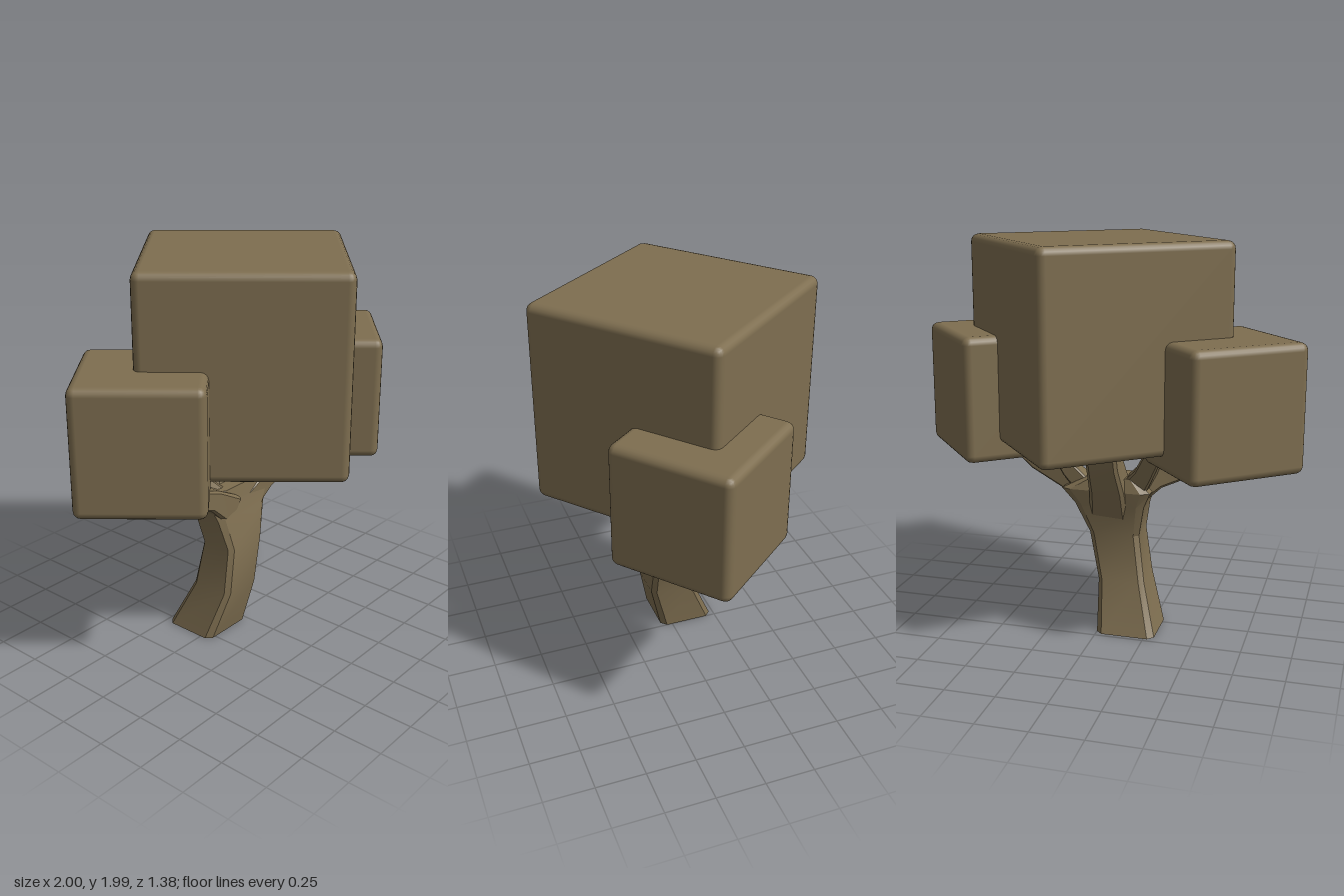
import * as THREE from 'three';
import { toCreasedNormals } from 'three/addons/utils/BufferGeometryUtils.js';
import { RoundedBoxGeometry } from 'three/addons/geometries/RoundedBoxGeometry.js';

// Lofts a chamfered rectangle through rows of [x, y, z, halfWidth, halfDepth].
function limbGeometry(rows, upright = false) {
  const corners = [[1, -0.8], [1, 0.8], [0.8, 1], [-0.8, 1], [-1, 0.8], [-1, -0.8], [-0.8, -1], [0.8, -1]];
  const n = corners.length;
  const centres = rows.map((r) => new THREE.Vector3(r[0], r[1], r[2]));
  const positions = [];
  const index = [];
  rows.forEach((row, i) => {
    const t = upright
      ? new THREE.Vector3(0, 1, 0)
      : centres[Math.min(i + 1, rows.length - 1)].clone().sub(centres[Math.max(i - 1, 0)]).normalize();
    const w = new THREE.Vector3(0, 0, 1).addScaledVector(t, -t.z).normalize();
    const u = t.clone().cross(w);
    for (const [a, b] of corners) {
      const p = centres[i].clone().addScaledVector(u, a * row[3]).addScaledVector(w, b * row[4]);
      positions.push(p.x, p.y, p.z);
    }
  });
  for (let i = 0; i < rows.length - 1; i++) {
    for (let j = 0; j < n; j++) {
      const a = i * n + j;
      const b = i * n + (j + 1) % n;
      index.push(a, a + n, b, b, a + n, b + n);
    }
  }
  // End caps
  const last = (rows.length - 1) * n;
  for (let j = 1; j < n - 1; j++) {
    index.push(0, j, j + 1, last, last + j + 1, last + j);
  }
  const geometry = new THREE.BufferGeometry();
  geometry.setAttribute('position', new THREE.Float32BufferAttribute(positions, 3));
  geometry.setIndex(index);
  return toCreasedNormals(geometry, 0.45);
}

export function createModel() {
  const tree = new THREE.Group();
  tree.name = 'blockTree';
  const olive = new THREE.MeshStandardMaterial({ color: 0x7e6e50 });
  olive.name = 'olive brown';

  function add(name, geometry) {
    const mesh = new THREE.Mesh(geometry, olive);
    mesh.name = name;
    tree.add(mesh);
    return mesh;
  }

  // Foliage blocks, all turned by the same angle
  const blocks = [
    ['crownFoliage', 1.003, 1.01, 0.05, 1.485, 0],
    ['rightFoliage', 0.62, 0.635, -0.58, 1.217, -0.085],
    ['leftFoliage', 0.625, 0.635, 0.575, 1.202, 0.07],
  ];
  for (const [name, size, height, x, y, z] of blocks) {
    const block = add(name, new RoundedBoxGeometry(size, height, size, 2, 0.04));
    block.position.set(x, y, z);
    block.rotation.y = THREE.MathUtils.degToRad(39.4);
  }

  // Bent trunk, widening towards the fork
  add('trunk', limbGeometry([
    [-0.15, 0, -0.085, 0.15, 0.145],
    [-0.1, 0.25, 0, 0.12, 0.12],
    [-0.055, 0.49, 0.015, 0.13, 0.1],
    [-0.035, 0.65, -0.02, 0.18, 0.095],
    [-0.02, 0.73, -0.035, 0.23, 0.095],
    [-0.05, 0.8, -0.03, 0.12, 0.08],
  ], true));

  // Branches reaching into the foliage
  add('crownBranch', limbGeometry([
    [-0.03, 0.62, -0.03, 0.1, 0.08],
    [-0.035, 0.75, -0.09, 0.09, 0.075],
    [-0.025, 0.88, -0.145, 0.08, 0.07],
    [-0.02, 1.04, -0.19, 0.08, 0.06],
  ]));
  add('rightBranch', limbGeometry([
    [-0.1, 0.68, -0.01, 0.08, 0.08],
    [-0.26, 0.79, 0.02, 0.055, 0.065],
    [-0.44, 0.86, 0.05, 0.05, 0.05],
    [-0.6, 0.96, 0.06, 0.04, 0.04],
  ]));
  add('rightTwig', limbGeometry([
    [-0.15, 0.73, -0.03, 0.07, 0.06],
    [-0.22, 0.83, -0.08, 0.05, 0.05],
    [-0.28, 0.95, -0.12, 0.045, 0.045],
  ]));
  add('leftBranch', limbGeometry([
    [0.03, 0.66, -0.02, 0.08, 0.08],
    [0.2, 0.76, 0.0, 0.055, 0.065],
    [0.38, 0.825, 0.04, 0.045, 0.055],
    [0.54, 0.94, 0.06, 0.04, 0.04],
  ]));
  add('leftTwig', limbGeometry([
    [0.09, 0.72, -0.04, 0.05, 0.05],
    [0.18, 0.82, -0.06, 0.04, 0.04],
    [0.25, 0.93, -0.06, 0.035, 0.035],
  ]));
  return tree;
}
